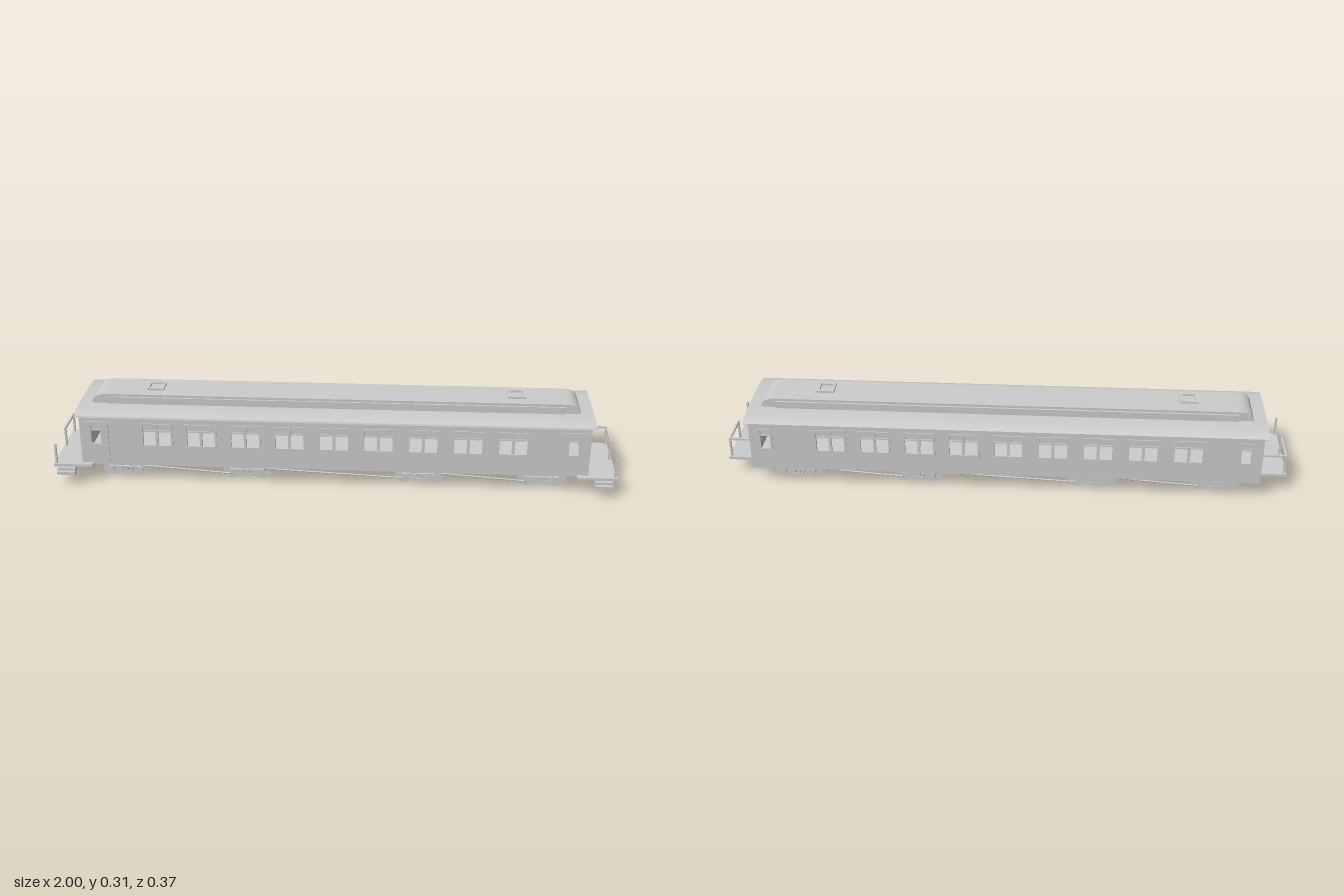
import * as THREE from 'three';
import { toCreasedNormals } from 'three/addons/utils/BufferGeometryUtils.js';

const mat = new THREE.MeshStandardMaterial({ color: 0xcccccc, side: THREE.DoubleSide });
const ZF = 0.143, ZB = -0.175, ZC = (ZF + ZB) / 2; // front wall, back wall, middle
const FLOOR = 0.072, EAVE = 0.252;

function add(parent, name, geo) {
  const m = new THREE.Mesh(geo, mat);
  m.name = name;
  parent.add(m);
  return m;
}

// Box given by its limits
function box(parent, name, x0, x1, y0, y1, z0, z1) {
  const m = add(parent, name, new THREE.BoxGeometry(Math.abs(x1 - x0), y1 - y0, Math.abs(z1 - z0)));
  m.position.set((x0 + x1) / 2, (y0 + y1) / 2, (z0 + z1) / 2);
  return m;
}

function rectPath(P, x0, x1, y0, y1) {
  const p = new P();
  p.moveTo(x0, y0); p.lineTo(x1, y0); p.lineTo(x1, y1); p.lineTo(x0, y1); p.closePath();
  return p;
}

// Flat panel with rectangular openings
function panel(x0, x1, y0, y1, openings, depth) {
  const s = rectPath(THREE.Shape, x0, x1, y0, y1);
  for (const o of openings) s.holes.push(rectPath(THREE.Path, ...o));
  return new THREE.ExtrudeGeometry(s, { depth, bevelEnabled: false });
}

// Thin round rod between two points
function rod(parent, name, a, b, r) {
  const d = new THREE.Vector3().subVectors(b, a);
  const m = add(parent, name, new THREE.CylinderGeometry(r, r, d.length(), 8));
  m.position.addVectors(a, b).multiplyScalar(0.5);
  m.quaternion.setFromUnitVectors(new THREE.Vector3(0, 1, 0), d.normalize());
}

// Side wall with nine double windows and a small window at each end
function sideWall(parent, isFront) {
  const g = new THREE.Group();
  g.name = isFront ? 'frontWall' : 'backWall';
  const shift = isFront ? 0 : -0.02;
  const wins = [];
  for (let i = 0; i < 9; i++) {
    const c = -0.624 + i * 0.157 + shift;
    wins.push([c - 0.053, c + 0.053, 0.143, 0.227]);
  }
  const small = [-1, 1].map(s => [s * 0.842 - 0.021, s * 0.842 + 0.021, 0.145, 0.225]);
  const z = isFront ? ZF : ZB, out = isFront ? 1 : -1;
  add(g, 'wall', panel(-0.9, 0.9, FLOOR, EAVE, [...wins, ...small], 0.006))
    .position.z = isFront ? z - 0.006 : z;
  for (const [x0, x1, y0, y1] of [...wins, ...small]) {
    const t = 0.004;
    add(g, 'windowFrame', panel(x0 - t, x1 + t, y0 - t, y1 + t, [[x0 + t, x1 - t, y0 + t, y1 - t]], 0.009))
      .position.z = z - 0.0045 - out * 0.001;
    box(g, 'sashBar', x0, x1, 0.199, 0.204, z - out * 0.005, z + out * 0.001);
    box(g, 'upperPane', x0, x1, 0.202, y1, z - out * 0.005, z - out * 0.003);
    if (x1 - x0 > 0.06) {
      const c = (x0 + x1) / 2;
      box(g, 'mullion', c - 0.005, c + 0.005, y0, y1, z - out * 0.005, z + out * 0.002);
    }
  }
  // Boarding doors around the small front windows
  if (isFront) for (const o of small) {
    const c = (o[0] + o[1]) / 2;
    add(g, 'boardingDoor', panel(c - 0.045, c + 0.045, 0.08, 0.235, [o], 0.004)).position.z = z;
  }
  parent.add(g);
}

// End wall with a doorway, closed by a door at one end only
function endWall(parent, s) {
  const door = [0.038, 0.108, 0.08, 0.23];
  const geo = panel(ZB, ZF, FLOOR, EAVE, [door], 0.006).rotateY(-Math.PI / 2);
  add(parent, 'endWall', geo).position.x = s > 0 ? 0.9 : -0.894;
  if (s > 0) box(parent, 'endDoor', 0.894, 0.898, 0.08, 0.23, 0.038, 0.108);
}

// Open platform with steps, railings and a corner post
function platform(parent, s) {
  const g = new THREE.Group();
  g.name = 'endPlatform';
  const t = 0.007;
  box(g, 'deck', s * 0.86, s, 0.062, FLOOR, -0.12, 0.163);
  box(g, 'upperStep', s * 0.92, s * 0.985, 0.052, 0.062, 0.15, 0.175);
  box(g, 'lowerStep', s * 0.92, s * 0.985, 0.041, 0.052, 0.165, 0.187);
  for (const z of [0.012, -0.108]) box(g, 'railPost', s * 0.988, s * 0.995, FLOOR, 0.145, z - t / 2, z + t / 2);
  box(g, 'endRail', s * 0.988, s * 0.995, 0.138, 0.145, -0.112, 0.0155);
  box(g, 'backRail', s * 0.875, s * 0.995, 0.138, 0.145, -0.112, -0.105);
  box(g, 'cornerPost', s * 0.988, s * 0.995, FLOOR, 0.145, 0.149, 0.156);
  parent.add(g);
}

// Pair of wheels on one side, joined by a bar with journal boxes
function bogieSide(parent, cx, z, out) {
  const g = new THREE.Group();
  g.name = 'bogieSide';
  for (const dx of [-0.053, 0.053]) {
    const disc = (name, r, w, zo, seg = 28) => {
      const m = add(g, name, toCreasedNormals(new THREE.CylinderGeometry(r, r, w, seg), 0.6));
      m.rotation.x = Math.PI / 2;
      m.position.set(dx, 0.034, zo * out);
    };
    disc('wheelFlange', 0.034, 0.004, -0.003);
    disc('wheelTread', 0.03, 0.009, 0.002);
    disc('wheelHub', 0.011, 0.008, 0.008, 16);
    box(g, 'journalBox', dx - 0.008, dx + 0.008, 0.024, 0.042, out * 0.008, out * 0.018);
  }
  box(g, 'sideBar', -0.053, 0.053, 0.036, 0.042, out * 0.008, out * 0.014);
  box(g, 'lowerBar', -0.025, 0.025, 0.018, 0.023, out * 0.008, out * 0.014);
  for (const dx of [-0.016, 0, 0.016]) box(g, 'spring', dx - 0.005, dx + 0.005, 0.02, 0.04, out * 0.007, out * 0.016);
  box(g, 'hanger', -0.012, 0.012, 0.04, FLOOR, -0.004, 0.004);
  g.position.set(cx, 0, z);
  parent.add(g);
}

export function createModel() {
  const car = new THREE.Group();
  car.name = 'passengerCar';

  // Body
  box(car, 'floor', -0.9, 0.9, 0.066, FLOOR + 0.002, ZB, ZF);
  sideWall(car, true);
  sideWall(car, false);
  for (const s of [-1, 1]) {
    endWall(car, s);
    platform(car, s);
  }

  // Arched roof, run along the length
  const arch = new THREE.Shape();
  arch.moveTo(0.147, 0.25);
  arch.lineTo(0.145, 0.256);
  arch.quadraticCurveTo(0.11, 0.267, 0.05, 0.268);
  arch.lineTo(-0.09, 0.268);
  arch.quadraticCurveTo(-0.16, 0.266, -0.185, 0.253);
  arch.lineTo(-0.185, 0.25);
  arch.closePath();
  const roof = new THREE.ExtrudeGeometry(arch, { depth: 1.83, bevelEnabled: false, curveSegments: 10 });
  roof.translate(0, 0, -0.915).rotateY(-Math.PI / 2);
  add(car, 'roof', toCreasedNormals(roof, 0.5));

  // Raised roof with rounded ends
  const raised = new THREE.Shape();
  raised.moveTo(-0.868, 0.262);
  raised.lineTo(-0.868, 0.275);
  raised.quadraticCurveTo(-0.86, 0.302, -0.815, 0.302);
  raised.lineTo(0.815, 0.302);
  raised.quadraticCurveTo(0.86, 0.302, 0.868, 0.275);
  raised.lineTo(0.868, 0.262);
  raised.closePath();
  const rg = new THREE.ExtrudeGeometry(raised, { depth: 0.142, bevelEnabled: false, curveSegments: 10 });
  add(car, 'raisedRoof', toCreasedNormals(rg, 0.6)).position.z = ZC - 0.072;
  box(car, 'frontRoofStrip', -0.815, 0.815, 0.266, 0.293, 0.05, 0.06);
  box(car, 'backRoofStrip', -0.815, 0.815, 0.266, 0.293, -0.095, -0.085);

  // Roof vents
  for (const s of [-1, 1]) {
    const x = s * 0.645;
    box(car, 'ventBase', x - 0.024, x + 0.024, 0.3, 0.306, -0.036, 0.014);
    const cap = panel(x - 0.031, x + 0.031, -0.02, 0.043, [[x - 0.022, x + 0.022, -0.011, 0.034]], 0.007);
    add(car, 'ventCap', cap.rotateX(-Math.PI / 2)).position.y = 0.306;
  }

  // Wheels and truss rods
  const centres = [-0.752, -0.312, 0.308, 0.745];
  for (const [z, out] of [[0.094, 1], [-0.123, -1]]) {
    for (const c of centres) bogieSide(car, c, z, out);
    for (let i = 0; i < 3; i++) {
      const zr = z + out * 0.011;
      const a = new THREE.Vector3(centres[i] + 0.05, 0.034 + out * 0.012, zr);
      const b = new THREE.Vector3(centres[i + 1] - 0.05, 0.034 - out * 0.012, zr);
      rod(car, 'trussRod', a, b, 0.003);
    }
  }
  return car;
}
